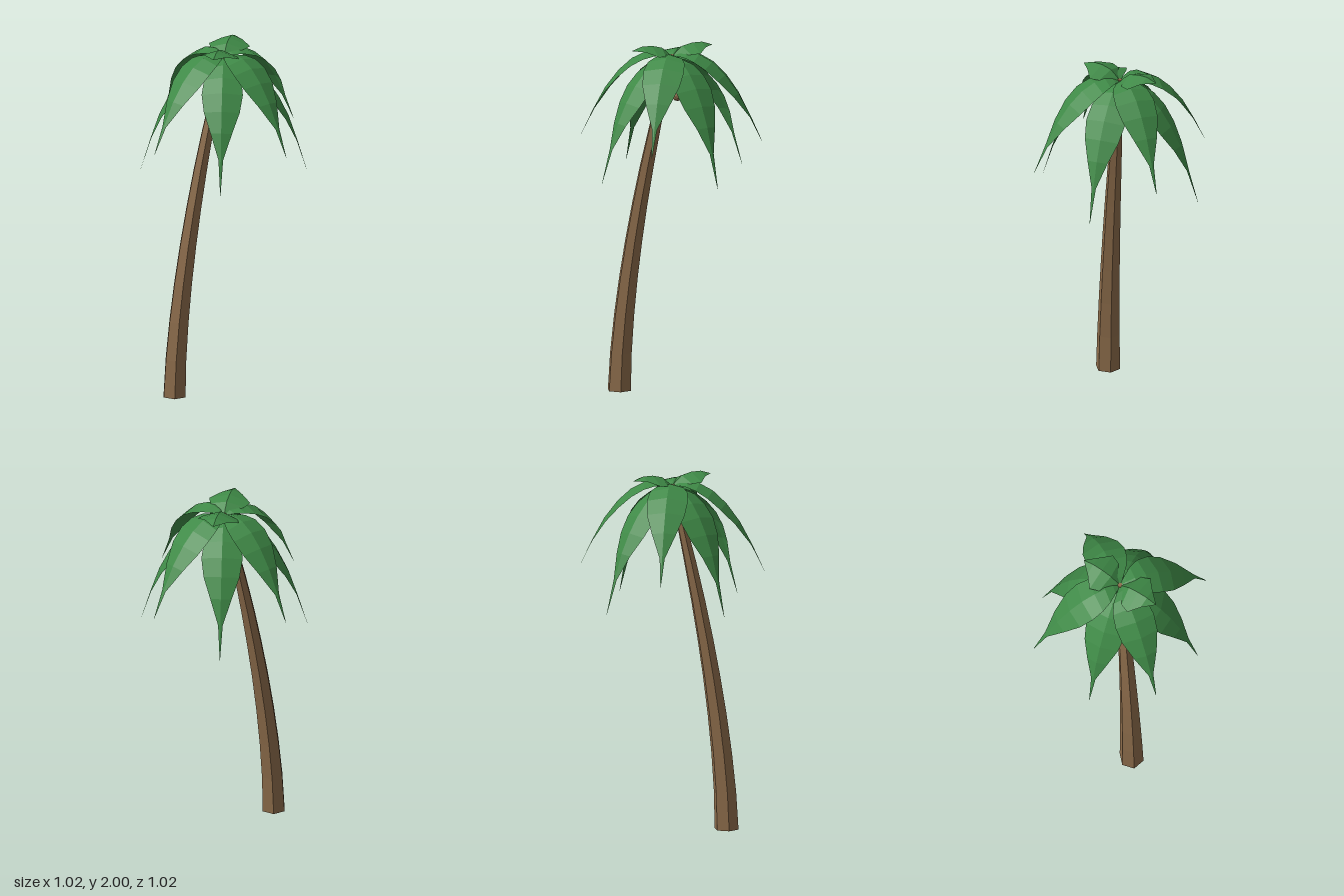
import * as THREE from 'three';

const bark = new THREE.MeshStandardMaterial({ color: 0x8b6b4a, flatShading: true });
const green = new THREE.MeshStandardMaterial({ color: 0x3f8a47, flatShading: true, side: THREE.DoubleSide });

// Each station along the midrib: [distance out, height, half width]
const upperProfile = [
  [0, 1.93, 0.004], [0.04, 1.95, 0.04], [0.09, 1.96, 0.077], [0.155, 1.95, 0.104],
  [0.23, 1.91, 0.115], [0.305, 1.84, 0.106], [0.38, 1.74, 0.068], [0.45, 1.61, 0.014], [0.52, 1.46, 0.001],
];
const lowerProfile = [
  [0, 1.92, 0.004], [0.05, 1.925, 0.04], [0.11, 1.91, 0.077], [0.18, 1.86, 0.104],
  [0.245, 1.79, 0.115], [0.305, 1.7, 0.1], [0.36, 1.59, 0.06], [0.408, 1.45, 0.013], [0.466, 1.26, 0.001],
];
const crownProfile = [
  [0, 1.93, 0.004], [0.025, 1.955, 0.046], [0.06, 1.985, 0.098],
  [0.12, 2.0, 0.118], [0.18, 2.0, 0.06], [0.24, 1.98, 0.001],
];

// Leaf folded along a raised midrib, edges dropped along the local normal
function leafGeometry(profile, fold) {
  const pos = [], index = [];
  profile.forEach(([u, y, w], i) => {
    const a = profile[Math.max(i - 1, 0)], b = profile[Math.min(i + 1, profile.length - 1)];
    const len = Math.hypot(b[0] - a[0], b[1] - a[1]);
    const nx = -(b[1] - a[1]) / len, ny = (b[0] - a[0]) / len, drop = w * fold;
    for (const s of [-1, 0, 1]) {
      const d = s ? drop : 0;
      pos.push(u - nx * d, y - ny * d, s * w);
    }
    if (i) {
      for (let k = 0; k < 2; k++) {
        const p = (i - 1) * 3 + k, q = i * 3 + k;
        index.push(p, p + 1, q, q, p + 1, q + 1);
      }
    }
  });
  const g = new THREE.BufferGeometry();
  g.setAttribute('position', new THREE.Float32BufferAttribute(pos, 3));
  g.setIndex(index);
  g.computeVertexNormals();
  return g;
}

// Ring of equal leaves around the trunk axis
function leafRing(name, profile, fold, count, startAngle) {
  const ring = new THREE.Group();
  ring.name = name;
  const geometry = leafGeometry(profile, fold);
  for (let i = 0; i < count; i++) {
    const leaf = new THREE.Mesh(geometry, green);
    leaf.name = 'leaf';
    leaf.rotation.y = startAngle + (i * Math.PI * 2) / count;
    ring.add(leaf);
  }
  return ring;
}

// Six-sided trunk, tapered and bent towards the crown
function trunkGeometry() {
  const height = 1.94;
  const g = new THREE.CylinderGeometry(1, 1, 1, 6, 9, false, Math.PI / 2);
  const p = g.attributes.position;
  for (let i = 0; i < p.count; i++) {
    const t = p.getY(i) + 0.5;
    const r = 0.07 - 0.042 * t - 0.014 * Math.pow(t, 8);
    p.setXYZ(i, -0.32 * (1 - Math.pow(t, 1.6)) + p.getX(i) * r, t * height, p.getZ(i) * r);
  }
  g.computeVertexNormals();
  return g;
}

export function createModel() {
  const palm = new THREE.Group();
  palm.name = 'palmTree';

  const trunk = new THREE.Mesh(trunkGeometry(), bark);
  trunk.name = 'trunk';
  palm.add(trunk);

  // Small nut hidden under the leaves
  const nut = new THREE.Mesh(new THREE.IcosahedronGeometry(0.03, 1), bark);
  nut.name = 'coconut';
  nut.position.set(0.035, 1.71, 0.005);
  palm.add(nut);

  palm.add(leafRing('upperLeaves', upperProfile, 0.25, 4, 0.194));
  palm.add(leafRing('lowerLeaves', lowerProfile, 0.25, 4, -0.579));
  palm.add(leafRing('crownLeaves', crownProfile, 0.35, 2, Math.PI / 4));
  return palm;
}
